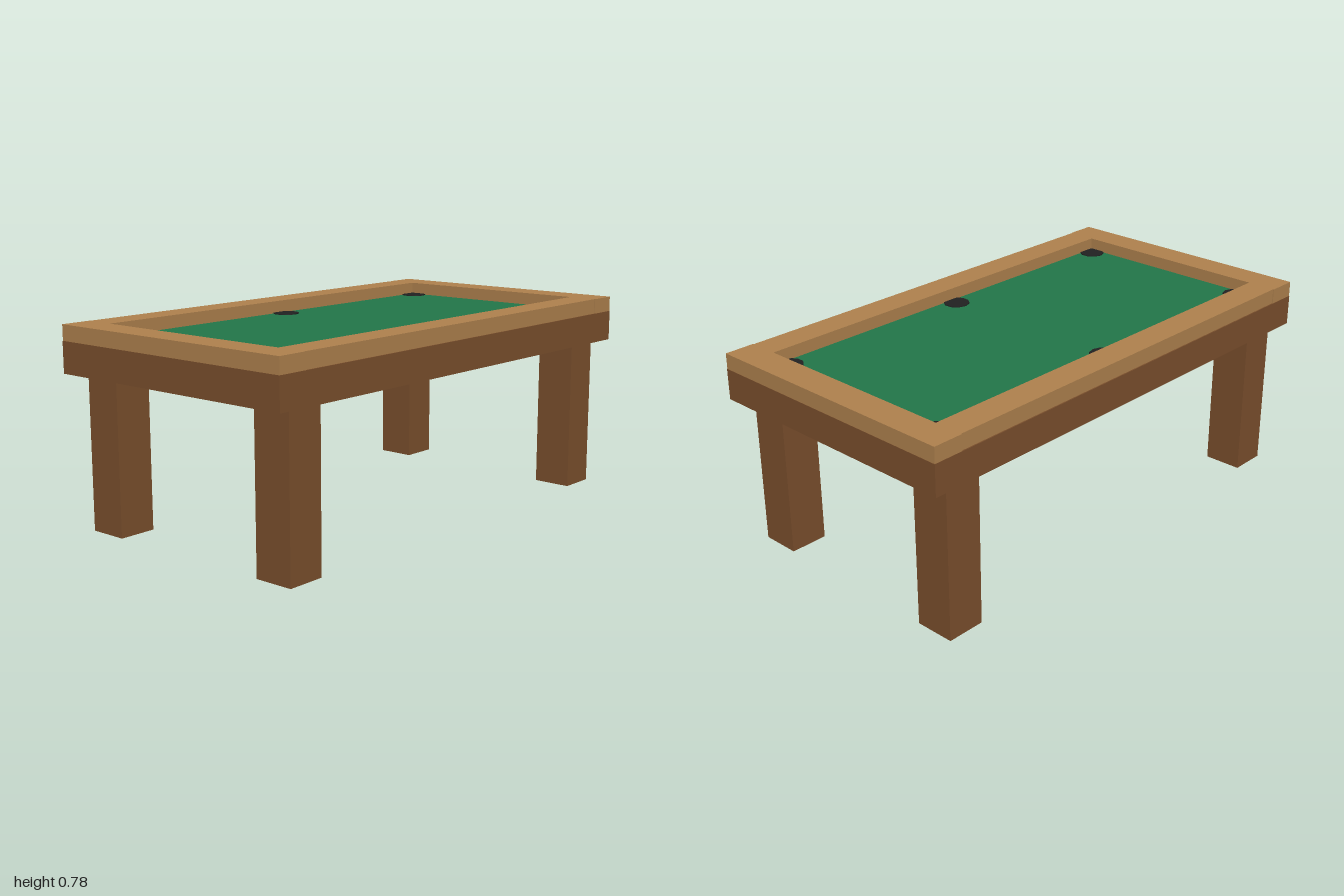
import * as THREE from 'three';

const paint = (name, color) => Object.assign(new THREE.MeshStandardMaterial({ color }), { name });

export function createModel() {
  const table = new THREE.Group();
  table.name = 'poolTable';
  const darkWood = paint('darkWood', 0x7c502d);
  const lightWood = paint('lightWood', 0xb0824e);
  const felt = paint('greenFelt', 0x23774a);
  const black = paint('pocketBlack', 0x222222);

  const add = (name, geometry, material, x, y, z) => {
    const mesh = new THREE.Mesh(geometry, material);
    mesh.name = name;
    mesh.position.set(x, y, z);
    table.add(mesh);
  };

  // Table body and playing surface
  add('body', new THREE.BoxGeometry(2, 0.12, 1.076), darkWood, 0, 0.66, 0);
  add('playingSurface', new THREE.BoxGeometry(1.77, 0.012, 0.85), felt, 0, 0.725, 0);

  const rail = 0.12;
  const pocket = new THREE.CylinderGeometry(0.052, 0.052, 0.008, 10);
  for (const s of [-1, 1]) {
    // Long side rails fit between the full-width end rails
    add('sideRail', new THREE.BoxGeometry(1.76, 0.06, rail - 0.005), lightWood, 0, 0.75, s * 0.476);
    add('endRail', new THREE.BoxGeometry(rail, 0.06, 1.074), lightWood, s * 0.939, 0.75, 0);

    // Legs
    for (const x of [-0.845, 0.845]) {
      add('leg', new THREE.BoxGeometry(0.15, 0.6, 0.155), darkWood, x, 0.3, s * 0.4225);
    }

    // Pockets at the corners and the middle of each long side
    for (const x of [-0.84, 0, 0.84]) {
      add('pocket', pocket, black, x, 0.731, s * 0.382);
    }
  }
  return table;
}
